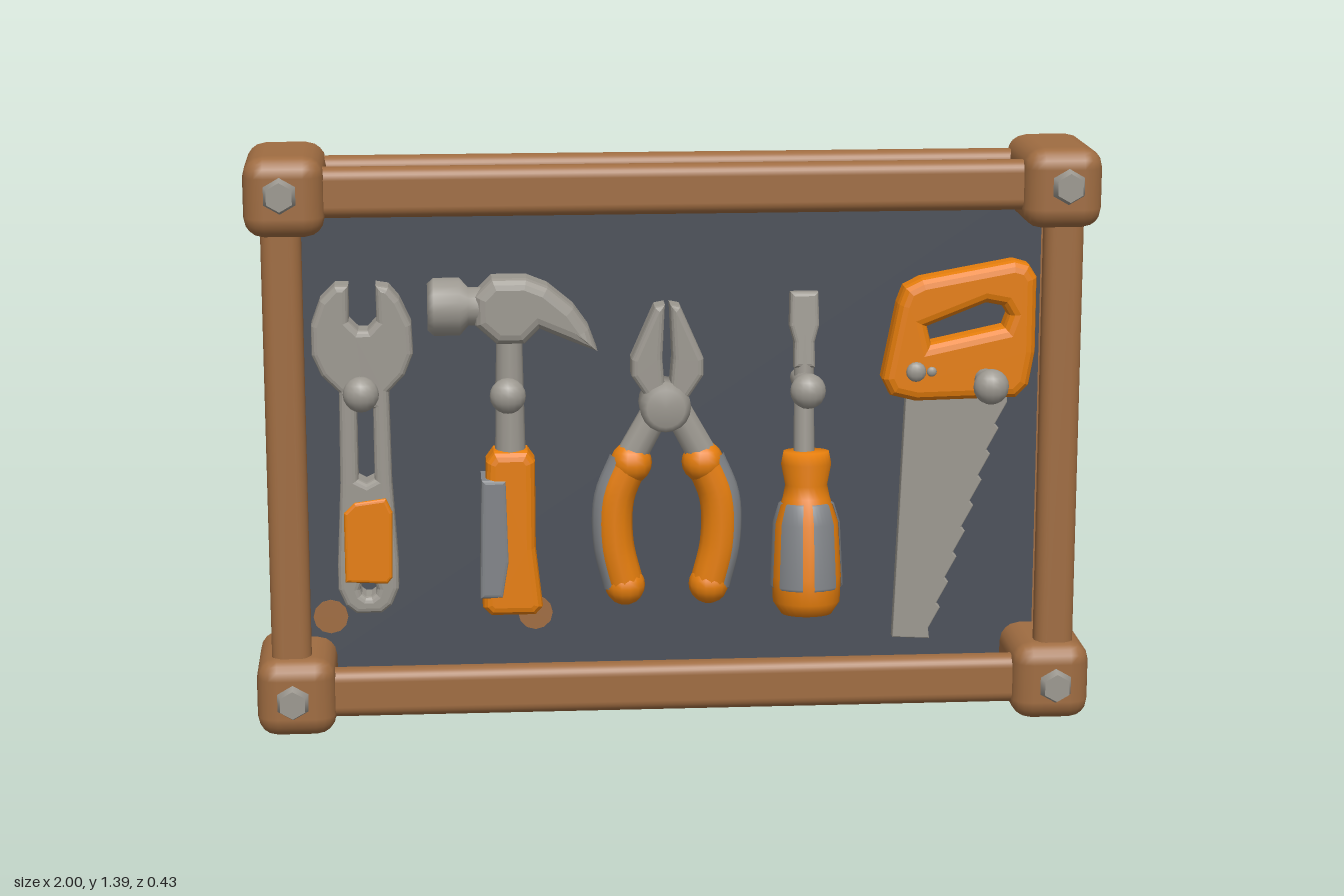
import * as THREE from 'three';
import { RoundedBoxGeometry } from 'three/addons/geometries/RoundedBoxGeometry.js';

const mat = (name, color) => Object.assign(new THREE.MeshStandardMaterial({ color }), { name });

export function createModel() {
  const wood = mat('wood', 0x9f6c41);
  const slate = mat('slate', 0x4b5059);
  const lidGrey = mat('lid grey', 0x66635d);
  const steel = mat('steel', 0x9c9890);
  const orange = mat('orange', 0xe67e0c);
  const grip = mat('grip grey', 0x818488);

  const model = new THREE.Group();
  model.name = 'toolRack';
  const group = (name) => {
    const g = new THREE.Group();
    g.name = name;
    model.add(g);
    return g;
  };
  const add = (parent, name, geo, material, x = 0, y = 0, z = 0) => {
    const m = new THREE.Mesh(geo, material);
    m.name = name;
    m.position.set(x, y, z);
    parent.add(m);
    return m;
  };
  // Bevelled slab from an outline, centred on z = 0
  const slab = (pts, depth, bevel, holes = []) => {
    const toV = (a) => a.map(([x, y]) => new THREE.Vector2(x, y));
    const shape = new THREE.Shape(toV(pts));
    holes.forEach((h) => shape.holes.push(new THREE.Path(toV(h))));
    const geo = new THREE.ExtrudeGeometry(shape, {
      depth: depth - 2 * bevel, bevelEnabled: bevel > 0, bevelSize: bevel,
      bevelThickness: bevel, bevelOffset: -bevel, bevelSegments: 3,
    });
    return geo.translate(0, 0, bevel - depth / 2);
  };
  const ring = (x, y, r, n = 10) => Array.from({ length: n }, (_, i) => {
    const a = (i / n) * Math.PI * 2;
    return [x + r * Math.cos(a), y + r * Math.sin(a)];
  });
  const lathe = (pts, seg = 20, start = 0, len = Math.PI * 2) =>
    new THREE.LatheGeometry(pts.map(([r, y]) => new THREE.Vector2(r, y)), seg, start, len);

  // Frame: front and back rails and posts, joined by corner blocks
  const frame = group('frame');
  for (const z of [0.053, -0.125]) {
    for (const y of [0.095, 1.3]) {
      add(frame, 'rail', new RoundedBoxGeometry(1.72, 0.118, 0.064, 4, 0.028), wood, 0, y, z);
    }
    for (const x of [-0.915, 0.915]) {
      add(frame, 'post', new RoundedBoxGeometry(0.094, 1.2, 0.062, 4, 0.026), wood, x, 0.695, z);
    }
  }
  for (const x of [-0.905, 0.905]) {
    for (const y of [0.095, 1.295]) {
      add(frame, 'cornerBlock', new RoundedBoxGeometry(0.187, 0.19, 0.315, 2, 0.048), wood, x, y, -0.035);
      const bolt = new THREE.CylinderGeometry(0.034, 0.049, 0.04, 6).rotateX(Math.PI / 2);
      add(frame, 'bolt', bolt, steel, x + Math.sign(x) * 0.008, y + (y > 1 ? 0.008 : -0.004), 0.125);
    }
  }

  // Recessed back panel, lid, floor and the two worn wood spots
  const board = group('board');
  add(board, 'backPanel', new THREE.BoxGeometry(1.78, 1.2, 0.012), slate, 0, 0.697, -0.098);
  add(board, 'lid', new THREE.BoxGeometry(1.72, 0.02, 0.17), lidGrey, 0, 1.315, -0.036);
  add(board, 'floor', new THREE.BoxGeometry(1.72, 0.02, 0.17), wood, 0, 0.085, -0.036);
  for (const x of [-0.825, -0.33]) {
    const spot = new THREE.CylinderGeometry(0.042, 0.042, 0.018, 12).rotateX(Math.PI / 2);
    add(board, 'woodSpot', spot, wood, x, 0.24, -0.098);
  }

  // Pegs that hold the tools
  const pegs = group('pegs');
  for (const [x, y, tip] of [[-0.737, 0.835, 0.15], [-0.397, 0.835, 0.19], [0.303, 0.835, 0.19], [0.733, 0.84, 0.198]]) {
    const len = tip - 0.03;
    add(pegs, 'pegShaft', new THREE.CylinderGeometry(0.026, 0.026, len, 12).rotateX(Math.PI / 2), steel, x, y, len / 2);
    add(pegs, 'pegKnob', new THREE.SphereGeometry(0.042, 16, 10).scale(1, 1, 0.85), steel, x, y, tip - 0.034);
  }

  // Wrench with a slot, a hanging hole and an orange pad
  const wrench = group('wrench');
  wrench.position.set(-0.73, 0, -0.008);
  add(wrench, 'wrenchBody', slab([
    [-0.055, 0.3], [-0.03, 0.28], [0.03, 0.28], [0.055, 0.3], [0.072, 0.34], [0.072, 0.4], [0.06, 0.6], [0.057, 0.82],
    [0.095, 0.86], [0.115, 0.91], [0.112, 0.98], [0.085, 1.04], [0.06, 1.07], [0.03, 1.075], [0.031, 0.99], [0.01, 0.968],
    [-0.012, 0.968], [-0.034, 0.99], [-0.033, 1.075], [-0.065, 1.075], [-0.1, 1.04], [-0.122, 0.98], [-0.122, 0.91],
    [-0.1, 0.86], [-0.06, 0.82], [-0.062, 0.6], [-0.072, 0.4], [-0.072, 0.34],
  ], 0.085, 0.014, [[[-0.019, 0.61], [0, 0.6], [0.019, 0.61], [0.019, 0.78], [0, 0.79], [-0.019, 0.78]], ring(0, 0.34, 0.02)]), steel);
  add(wrench, 'wrenchPad', slab([[-0.055, 0.36], [0.045, 0.355], [0.057, 0.37], [0.06, 0.53], [0.045, 0.565], [-0.03, 0.555], [-0.055, 0.53]],
    0.1, 0.008), orange);

  // Hammer with striking face, claw and two-colour grip
  const hammer = group('hammer');
  hammer.position.z = 0.05;
  add(hammer, 'hammerGrip', slab([
    [-0.46, 0.305], [-0.44, 0.285], [-0.335, 0.285], [-0.317, 0.305], [-0.333, 0.45], [-0.333, 0.66],
    [-0.35, 0.685], [-0.43, 0.685], [-0.448, 0.66], [-0.455, 0.45],
  ], 0.1, 0.022), orange);
  add(hammer, 'gripInlay', slab([[-0.466, 0.33], [-0.41, 0.33], [-0.395, 0.42], [-0.4, 0.62], [-0.46, 0.62]], 0.106, 0.01), grip);
  add(hammer, 'hammerNeck', new THREE.CylinderGeometry(0.03, 0.036, 0.32, 12), steel, -0.39, 0.83, 0);
  add(hammer, 'hammerHead', slab([
    [-0.47, 1.06], [-0.43, 1.1], [-0.35, 1.1], [-0.3, 1.08], [-0.24, 1.03], [-0.205, 0.98], [-0.185, 0.925], [-0.25, 0.95],
    [-0.32, 0.98], [-0.355, 0.945], [-0.42, 0.945], [-0.47, 0.99],
  ], 0.11, 0.025), steel, 0, 0, 0.012);
  const face = lathe([[0, -0.095], [0.055, -0.095], [0.068, -0.08], [0.068, -0.02], [0.045, 0], [0.045, 0.05]]).rotateZ(-Math.PI / 2);
  add(hammer, 'strikingFace', face, steel, -0.485, 1.03, 0.016);

  // Pliers, mirrored about their pivot
  const pliers = group('pliers');
  pliers.position.set(-0.02, 0, 0.05);
  for (const s of [-1, 1]) {
    const jaw = [[0.006, 1.03], [0.03, 1.025], [0.085, 0.9], [0.085, 0.86], [0.045, 0.8], [0.004, 0.8], [0.012, 0.9]];
    const outline = jaw.map(([x, y]) => [x * s, y]);
    add(pliers, 'jaw', slab(outline, 0.08, 0.014), steel);
    const path = (dx) => new THREE.CatmullRomCurve3([[0.085, 0.655], [0.122, 0.56], [0.124, 0.45], [0.1, 0.345]]
      .map(([x, y]) => new THREE.Vector3(s * (x + dx), y, 0)));
    add(pliers, 'plierGrip', new THREE.TubeGeometry(path(0), 16, 0.045, 12), orange);
    add(pliers, 'plierGripTop', new THREE.SphereGeometry(0.05, 14, 10), orange, s * 0.085, 0.645, 0);
    add(pliers, 'plierGripEnd', new THREE.SphereGeometry(0.048, 14, 10), orange, s * 0.1, 0.345, 0);
    add(pliers, 'plierInlay', new THREE.TubeGeometry(path(0.018), 16, 0.034, 12), grip);
    const arm = add(pliers, 'arm', new THREE.CylinderGeometry(0.034, 0.037, 0.16, 10), steel, s * 0.05, 0.725, 0);
    arm.rotation.z = s * 0.5;
  }
  add(pliers, 'pivot', lathe([[0, -0.04], [0.06, -0.04], [0.06, 0.035], [0.045, 0.05], [0, 0.05]]).rotateX(Math.PI / 2), steel, -0.005, 0.785, 0);

  // Screwdriver, leaning out at the bottom
  const driver = group('screwdriver');
  driver.position.set(0.31, 0.67, 0.066);
  driver.rotation.x = -0.09;
  add(driver, 'driverHandle', lathe([[0, -0.39], [0.06, -0.39], [0.08, -0.36], [0.083, -0.3], [0.076, -0.17],
    [0.056, -0.11], [0.05, -0.08], [0.06, -0.03], [0.054, 0], [0, 0.002]], 24), orange);
  for (let i = 0; i < 6; i++) {
    const strip = lathe([[0.078, -0.33], [0.087, -0.32], [0.08, -0.17], [0.066, -0.125], [0.056, -0.12]], 5, i * Math.PI / 3 + 0.12, 0.72);
    add(driver, 'handleStrip', strip, grip);
  }
  add(driver, 'shaft', new THREE.CylinderGeometry(0.023, 0.025, 0.3, 12), steel, -0.005, 0.13, 0);
  add(driver, 'blade', slab([[-0.025, 0.2], [0.025, 0.2], [0.024, 0.26], [0.035, 0.3], [0.033, 0.38], [-0.033, 0.38],
    [-0.035, 0.3], [-0.024, 0.26]], 0.045, 0.01), steel, -0.005, 0, 0);

  // Saw with toothed blade and looped handle
  const saw = group('saw');
  saw.position.z = 0.035;
  const teeth = [];
  for (let i = 0; i < 9; i++) {
    const y = 0.22 + i * 0.063;
    const x = 0.612 + i * 0.019;
    teeth.push([x, y], [x + 0.028, y + 0.052]);
  }
  add(saw, 'sawBlade', slab([[0.525, 0.2], [0.615, 0.195], ...teeth, [0.79, 0.82], [0.55, 0.82]], 0.03, 0.003), steel);
  add(saw, 'sawHandle', slab([
    [0.49, 0.84], [0.51, 0.8], [0.57, 0.785], [0.81, 0.79], [0.84, 0.82], [0.854, 0.9], [0.854, 1.08], [0.835, 1.11],
    [0.8, 1.12], [0.58, 1.08], [0.54, 1.06], [0.525, 1.02],
  ], 0.088, 0.025, [[[0.595, 0.965], [0.735, 1.02], [0.775, 1.012], [0.788, 0.99], [0.778, 0.962], [0.605, 0.925]]]), orange);
  for (const [x, r] of [[0.568, 0.024], [0.605, 0.012]]) {
    add(saw, 'rivet', new THREE.SphereGeometry(r, 12, 8).scale(1, 1, 0.6), steel, x, 0.86, 0.045);
  }

  // The whole rack stands turned by a small angle
  const root = new THREE.Group();
  root.name = 'toolRackRoot';
  model.rotation.y = -0.025;
  root.add(model);
  return root;
}
